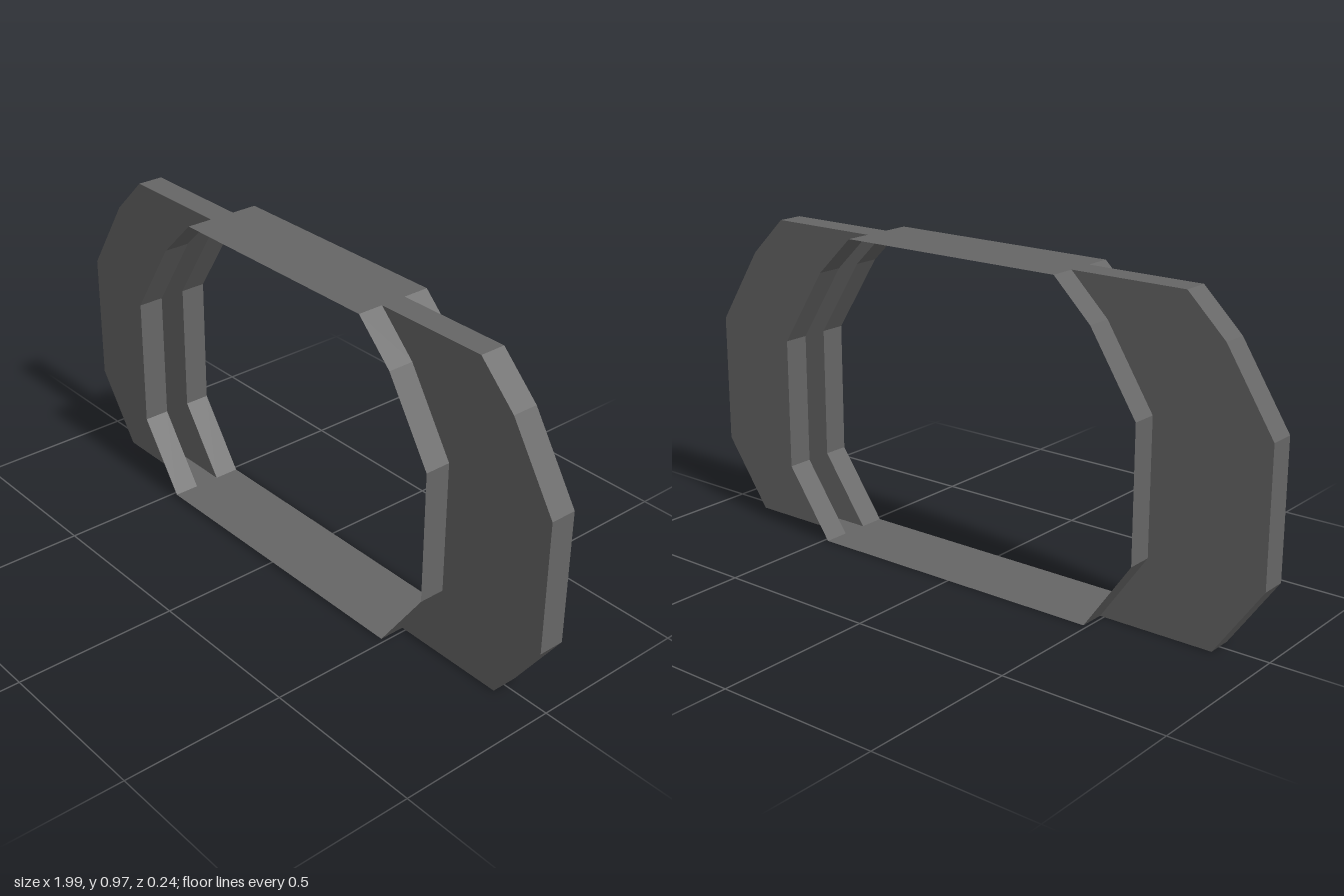
import * as THREE from 'three';

const RING_Z = 0.12, FLANGE_Z = 0.04, HEIGHT = 0.97, REACH = 0.36;

// inner wall of one side, from bottom to top
const wall = [[0.487, 0], [0.637, 0.213], [0.637, 0.618], [0.487, 0.853], [0.367, HEIGHT]];
// the same line pushed outwards, joined to the wall at both ends
const rim = [wall[0], ...wall.map(([x, y]) => [x + REACH, y]), wall[wall.length - 1]];

// thin sheet that follows a path in x/y between two depths, facing outwards
function sheet(path, z0, z1) {
  const pos = [];
  for (let i = 0; i < path.length - 1; i++) {
    const [ax, ay] = path[i], [bx, by] = path[i + 1];
    pos.push(ax, ay, z0, bx, by, z0, bx, by, z1, ax, ay, z0, bx, by, z1, ax, ay, z1);
  }
  const g = new THREE.BufferGeometry();
  g.setAttribute('position', new THREE.Float32BufferAttribute(pos, 3));
  g.computeVertexNormals();
  return g;
}

// flat cheek of the flange, between wall and rim
function cheek(sx) {
  const outline = [...rim, ...wall.slice(1, -1).reverse()];
  return new THREE.ShapeGeometry(new THREE.Shape(outline.map(([x, y]) => new THREE.Vector2(sx * x, y))));
}

export function createModel() {
  const grey = new THREE.MeshStandardMaterial({ color: 0x666666, side: THREE.DoubleSide });
  grey.name = 'darkGrey';
  const model = new THREE.Group();
  model.name = 'ringFrame';

  const add = (parent, name, geometry) => {
    const mesh = new THREE.Mesh(geometry, grey);
    mesh.name = name;
    parent.add(mesh);
  };

  // top and bottom panels span the ring
  add(model, 'topPanel', sheet([[0.367, HEIGHT], [-0.367, HEIGHT]], -RING_Z, RING_Z));
  add(model, 'bottomPanel', sheet([[-0.487, 0], [0.487, 0]], -RING_Z, RING_Z));

  // each side: two wall bands with a hollow flange, open inwards, between them
  for (const [name, turn] of [['leftSide', 0], ['rightSide', Math.PI]]) {
    const side = new THREE.Group();
    side.name = name;
    add(side, 'frontWallBand', sheet(wall, FLANGE_Z, RING_Z));
    add(side, 'backWallBand', sheet(wall, -RING_Z, -FLANGE_Z));
    add(side, 'flangeRim', sheet(rim, -FLANGE_Z, FLANGE_Z));
    add(side, 'flangeFrontCheek', cheek(1).translate(0, 0, FLANGE_Z));
    add(side, 'flangeBackCheek', cheek(-1).rotateY(Math.PI).translate(0, 0, -FLANGE_Z));
    side.rotation.y = turn;
    model.add(side);
  }
  return model;
}
